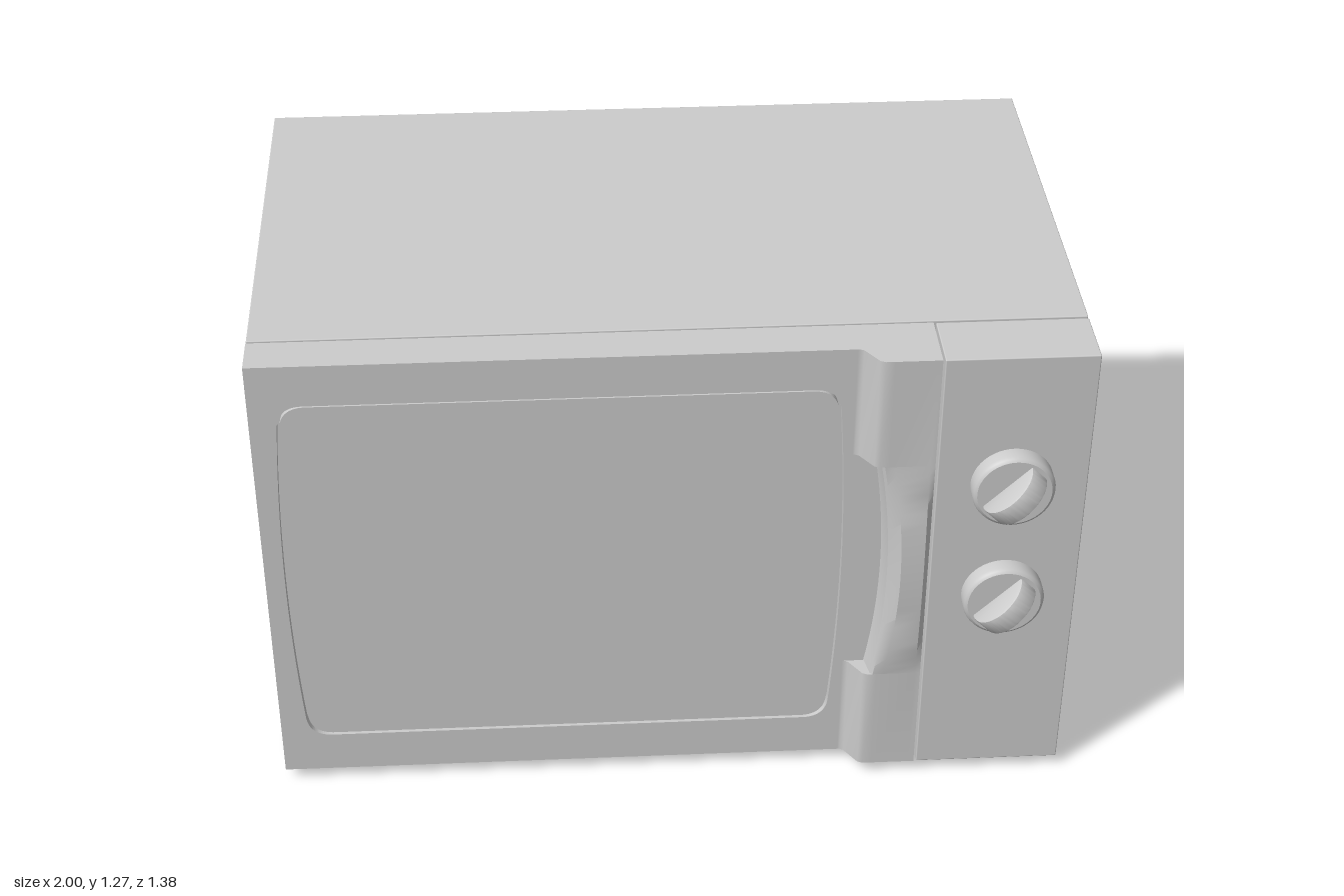
import * as THREE from 'three';
import { toCreasedNormals } from 'three/addons/utils/BufferGeometryUtils.js';
import { RoundedBoxGeometry } from 'three/addons/geometries/RoundedBoxGeometry.js';

const grey = new THREE.MeshStandardMaterial({ color: 0xcccccc });
const LEFT = -0.985, RIGHT = 0.998, TOP = 1.27, BOTTOM = 0.033;
const FACE_BACK = 0.415, DOOR_FRONT = 0.52, PANEL_FRONT = 0.577;
const GRIP_START = 0.437, DOOR_END = 0.628;

function add(parent, name, geometry) {
  const mesh = new THREE.Mesh(geometry, grey);
  mesh.name = name;
  parent.add(mesh);
  return mesh;
}

// Box given by its opposite corners, with barely softened edges
function block(x0, x1, y0, y1, z0, z1) {
  return new RoundedBoxGeometry(x1 - x0, y1 - y0, z1 - z0, 2, 0.003)
    .translate((x0 + x1) / 2, (y0 + y1) / 2, (z0 + z1) / 2);
}

// Barrel-sided window outline with rounded corners, shrunk by inset
function windowOutline(ShapeType, inset) {
  const l = -0.943 + inset, r = 0.429 - inset, b = 0.146 + inset, t = 1.159 - inset;
  const cy = (b + t) / 2, lean = 0.028, c = 0.06;
  const s = new ShapeType();
  s.moveTo(l + lean + c, b);
  s.lineTo(r - lean - c, b);
  s.quadraticCurveTo(r - lean, b, r - lean + 0.005, b + c);
  s.quadraticCurveTo(r + 0.012, cy, r - lean + 0.005, t - c);
  s.quadraticCurveTo(r - lean, t, r - lean - c, t);
  s.lineTo(l + lean + c, t);
  s.quadraticCurveTo(l + lean, t, l + lean - 0.005, t - c);
  s.quadraticCurveTo(l - 0.012, cy, l + lean - 0.005, b + c);
  s.quadraticCurveTo(l + lean, b, l + lean + c, b);
  return s;
}

const extrude = (shape, depth, z) => new THREE.ExtrudeGeometry(shape,
  { depth, bevelEnabled: false, curveSegments: 20 }).translate(0, 0, z);

// Door cross-section (x, z) at one height; the hollow replaces the ramp by a steep wall
function gripSection(y, hollow) {
  const u = (y - 0.65) / 0.32;
  const swell = hollow ? 0.02 * Math.cos(u * Math.PI / 2) : 0;
  const edge = hollow ? 0.503 + 0.028 * (1 - u * u) : 0.49;
  const foot = hollow ? edge - 0.012 : 0.442;
  return [
    [GRIP_START, FACE_BACK], [GRIP_START, DOOR_FRONT], [foot, DOOR_FRONT],
    [foot + (edge - foot) * 0.2, DOOR_FRONT + 0.005],
    [edge - (edge - foot) * 0.15, PANEL_FRONT - 0.006],
    [edge + 0.005, PANEL_FRONT], [edge + 0.028, PANEL_FRONT + swell],
    [0.615, PANEL_FRONT + swell], [DOOR_END, PANEL_FRONT], [DOOR_END, FACE_BACK],
  ];
}

// Loft of the door's grip side from bottom to top
function gripGeometry() {
  const rows = [[BOTTOM, false], [0.33, false]];
  for (let i = 0; i <= 24; i++) rows.push([0.33 + 0.64 * i / 24, true]);
  rows.push([0.97, false], [TOP, false]);
  const positions = [], index = [], n = 10;
  for (const [y, hollow] of rows)
    for (const [x, z] of gripSection(y, hollow)) positions.push(x, y, z);
  for (let r = 0; r < rows.length - 1; r++)
    for (let i = 0; i < n; i++) {
      const a = r * n + i, b = r * n + (i + 1) % n;
      index.push(a, b, b + n, a, b + n, a + n);
    }
  // End caps fan out from the rear corner
  const top = (rows.length - 1) * n;
  for (let i = 0; i < n - 2; i++) {
    index.push(n - 1, i + 1, i);
    index.push(top + n - 1, top + i, top + i + 1);
  }
  const g = new THREE.BufferGeometry();
  g.setAttribute('position', new THREE.Float32BufferAttribute(positions, 3));
  g.setIndex(index);
  return toCreasedNormals(g, 0.6);
}

function createDoor() {
  const door = new THREE.Group();
  door.name = 'door';
  const frame = new THREE.Shape([
    [LEFT, BOTTOM], [GRIP_START, BOTTOM], [GRIP_START, TOP], [LEFT, TOP],
  ].map(([x, y]) => new THREE.Vector2(x, y)));
  frame.holes.push(windowOutline(THREE.Path, 0));
  add(door, 'doorFrame', extrude(frame, DOOR_FRONT - FACE_BACK, FACE_BACK));
  add(door, 'windowPane', extrude(windowOutline(THREE.Shape, 0.005), 0.102, FACE_BACK));
  add(door, 'doorBacking', extrude(windowOutline(THREE.Shape, -0.002), 0.08, FACE_BACK + 0.001));
  add(door, 'doorHandle', gripGeometry());
  return door;
}

// Round dial with a half-disc finger grip turned diagonally
function createKnob(name, y) {
  const knob = new THREE.Group();
  knob.name = name;
  const profile = [[0, 0], [0.1, 0], [0.1, 0.03], [0.097, 0.038], [0.09, 0.043], [0, 0.043]]
    .map(([r, h]) => new THREE.Vector2(r, h));
  add(knob, 'dial', toCreasedNormals(
    new THREE.LatheGeometry(profile, 48).rotateX(Math.PI / 2), 0.6));
  const half = new THREE.Shape();
  half.absellipse(0, 0, 0.075, 0.066, 0, Math.PI);
  const grip = new THREE.ExtrudeGeometry(half, {
    depth: 0.044, curveSegments: 24, bevelThickness: 0.005, bevelSize: 0.004, bevelSegments: 2,
  }).translate(0, 0, -0.022).rotateX(Math.PI / 2).rotateZ(Math.PI / 4);
  add(knob, 'fingerGrip', toCreasedNormals(grip, 0.7)).position.z = 0.041;
  knob.position.set(0.815, y, PANEL_FRONT);
  return knob;
}

export function createModel() {
  const model = new THREE.Group();
  model.name = 'microwaveOven';

  // Cabinet, with a hidden spacer bridging the narrow gap to the front
  add(model, 'cabinet', block(LEFT, RIGHT, 0, TOP, -0.688, 0.407));
  add(model, 'spacer', new THREE.BoxGeometry(1.8, 1.1, 0.03).translate(0, 0.65, 0.411));

  // Front
  model.add(createDoor());
  add(model, 'controlPanel', block(0.634, RIGHT, BOTTOM, TOP, FACE_BACK, PANEL_FRONT));
  model.add(createKnob('upperKnob', 0.913), createKnob('lowerKnob', 0.58));

  // Small pins on the cabinet's right side
  for (const z of [-0.54, 0.33])
    add(model, 'sidePin', new THREE.CylinderGeometry(0.008, 0.008, 0.03, 16)
      .rotateZ(Math.PI / 2)).position.set(-0.985, 0.742, z);

  return model;
}
